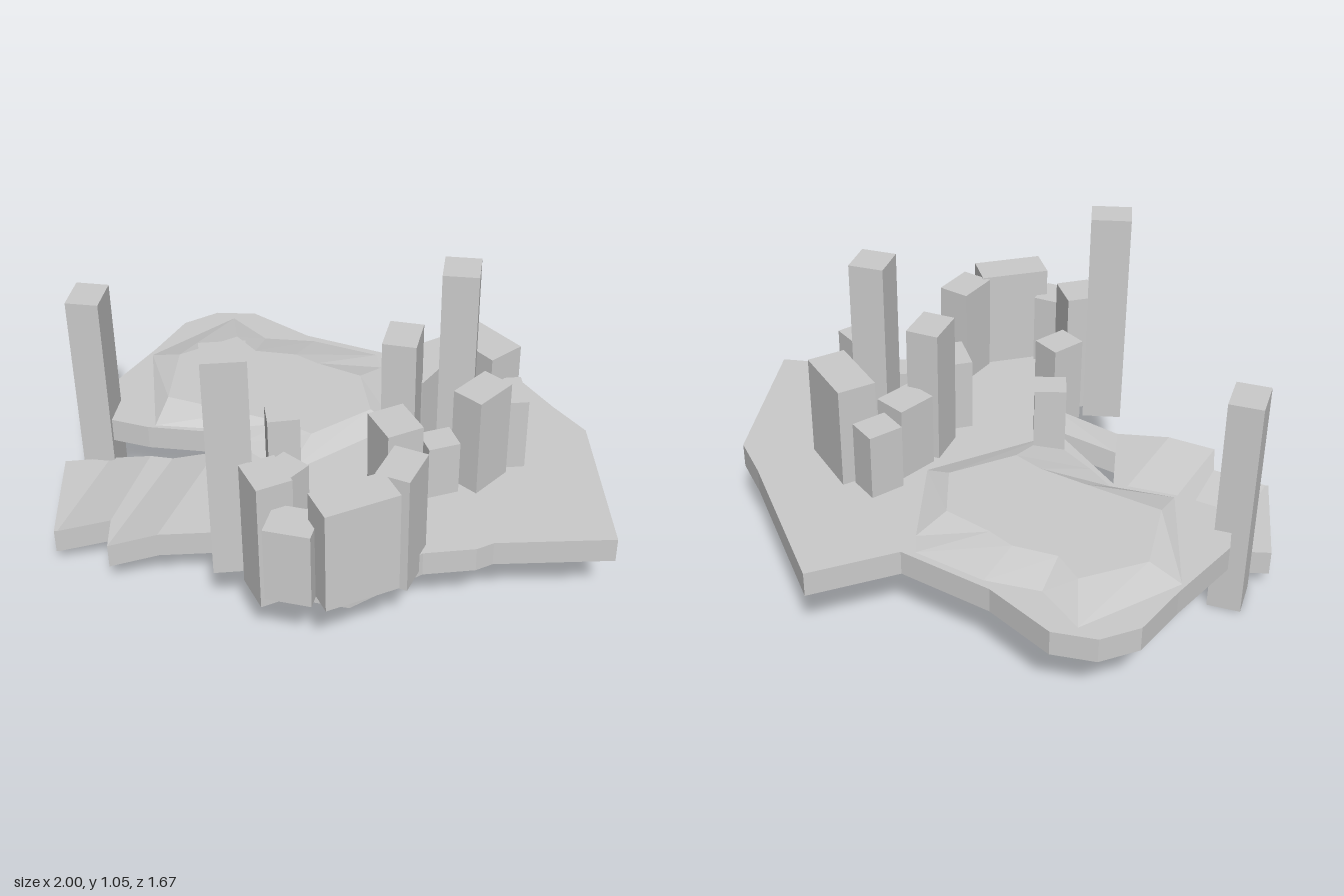
import * as THREE from 'three';

const material = new THREE.MeshStandardMaterial({ color: 0xcccccc, flatShading: true, side: THREE.DoubleSide });

function addTriangles(group, name, positions) {
  const geometry = new THREE.BufferGeometry();
  geometry.setAttribute('position', new THREE.Float32BufferAttribute(positions, 3));
  geometry.computeVertexNormals();
  const mesh = new THREE.Mesh(geometry, material);
  mesh.name = name;
  group.add(mesh);
}

const ring = (points) => points.map(([x, z]) => new THREE.Vector2(x, z));
const quad = (out, a, b, c, d) => out.push(...a, ...b, ...c, ...a, ...c, ...d);

// Horizontal polygon with holes, facing up or down
function cap(out, outline, holes, y, up) {
  const all = [outline, ...holes].flat();
  for (const f of THREE.ShapeUtils.triangulateShape(outline, holes)) {
    const t = f.map((i) => all[i]);
    // positive area in x/z means the triangle faces down
    if (THREE.ShapeUtils.area(t) > 0 === up) t.reverse();
    t.forEach((p) => out.push(p.x, y, p.y));
  }
}

// Band between two rings of equal length, wound by the first ring's direction
function band(out, a, ya, b, yb, flip) {
  const reverse = (THREE.ShapeUtils.area(a) > 0) !== flip;
  a.forEach((p, i) => {
    const j = (i + 1) % a.length;
    const q = [[p.x, ya, p.y], [a[j].x, ya, a[j].y], [b[j].x, yb, b[j].y], [b[i].x, yb, b[i].y]];
    if (reverse) q.reverse();
    quad(out, ...q);
  });
}

// Platform: irregular slab with an opening and a low mound dented in from below
function addPlatform(group) {
  const outline = ring([
    [0.085, -0.84], [0.58, -0.5], [0.73, -0.41], [1, 0.12], [0.64, 0.3], [0.6, 0.35], [0.45, 0.44],
    [0.38, 0.55], [0.3, 0.68], [0.15, 0.71], [0, 0.68], [-0.06, 0.58], [-0.04, 0.44], [-0.1, 0.31],
    [-0.2, 0.27], [-0.47, 0.14], [-0.7, 0.21], [-0.88, 0.23], [-0.96, 0.05], [-0.93, -0.24],
    [-0.92, -0.45], [-0.84, -0.57], [-0.7, -0.625], [-0.44, -0.565], [-0.1, -0.575],
  ]);
  const opening = ring([[0.265, -0.32], [0.45, -0.24], [0.47, -0.05], [0.38, 0.1], [0.265, 0.1]]);
  const moundBase = ring([
    [-0.76, -0.56], [-0.58, -0.48], [-0.4, -0.54], [-0.14, -0.55], [-0.09, -0.48], [0.1, -0.16],
    [-0.13, 0.25], [-0.36, 0.17], [-0.47, 0.12], [-0.68, 0.19], [-0.92, -0.2],
  ]);
  const moundTop = ring([
    [-0.66, -0.4], [-0.55, -0.34], [-0.4, -0.38], [-0.3, -0.36], [-0.12, -0.35], [0, -0.17],
    [-0.13, 0.05], [-0.24, 0.03], [-0.42, 0.04], [-0.7, 0.06], [-0.8, -0.2],
  ]);
  const bottom = 0.23, top = 0.32, rise = 0.035;
  const out = [];
  for (const [y, up] of [[top, true], [bottom, false]]) {
    cap(out, outline, [opening, moundBase], y, up);
    band(out, moundBase, y, moundTop, y + rise, !up);
    cap(out, moundTop, [], y + rise, up);
  }
  band(out, outline, bottom, outline, top, false);
  band(out, opening, bottom, opening, top, true);
  addTriangles(group, 'platform', out);
}

// Ramp: stepped strip; each row is back x, back z, front x, front z, top height
function addRamp(group) {
  const rows = [
    [-1, 0.315, -0.82, 0.665, 0.145], [-0.86, 0.23, -0.81, 0.66, 0.145], [-0.7, 0.21, -0.64, 0.58, 0.19],
    [-0.62, 0.19, -0.58, 0.7, 0.19], [-0.47, 0.14, -0.43, 0.62, 0.23], [-0.32, 0.42, -0.26, 0.53, 0.23],
    [-0.1, 0.31, -0.05, 0.43, 0.315],
  ];
  const thick = 0.09;
  const sections = rows.map(([bx, bz, fx, fz, y]) =>
    [[bx, y, bz], [fx, y, fz], [fx, y - thick, fz], [bx, y - thick, bz]]);
  const out = [];
  for (let i = 0; i + 1 < sections.length; i++) {
    const a = sections[i], b = sections[i + 1];
    for (let k = 0; k < 4; k++) {
      const n = (k + 1) % 4;
      quad(out, a[k], a[n], b[n], b[k]);
    }
  }
  quad(out, ...[...sections[0]].reverse());
  quad(out, ...sections.at(-1));
  addTriangles(group, 'ramp', out);
}

// Pillars: x, z, width, depth, turn in degrees, bottom, top
const pillars = {
  hallPillar: [
    [0.185, -0.32, 0.11, 0.125, 20, 0.22, 0.56], [0.365, -0.28, 0.245, 0.135, 26, 0.22, 0.69],
    [0.185, -0.165, 0.12, 0.145, 10, 0.22, 0.59], [0.18, -0.02, 0.115, 0.145, -12, 0, 0.81],
    [0.34, -0.12, 0.12, 0.125, -17, 0.24, 1.05], [0.51, -0.16, 0.15, 0.115, 60, 0.24, 0.59],
    [0.47, -0.01, 0.115, 0.16, 19, 0.23, 0.685], [0.365, 0.1, 0.1, 0.11, 47, 0.2, 0.52],
    [0.23, 0.155, 0.15, 0.13, 40, 0.22, 0.59],
  ],
  frontPillar: [
    [-0.015, 0.5, 0.11, 0.13, 17, 0.23, 0.56], [0.02, 0.68, 0.14, 0.12, 40, 0.21, 0.68],
    [-0.13, 0.635, 0.14, 0.115, -30, 0.24, 1.05], [0.145, 0.755, 0.15, 0.13, -10, 0.315, 0.59],
    [0.315, 0.675, 0.125, 0.25, 41, 0.32, 0.69], [0.385, 0.475, 0.115, 0.155, 0, 0.25, 0.685],
  ],
  rampPillar: [
    [-0.15, 0.23, 0.1, 0.11, 57, 0.2, 0.56], [-0.91, 0.19, 0.115, 0.14, -16, 0, 0.81],
  ],
};

export function createModel() {
  const group = new THREE.Group();
  group.name = 'pillaredPlatform';
  addPlatform(group);
  addRamp(group);
  for (const [name, list] of Object.entries(pillars)) {
    for (const [x, z, w, d, turn, bottom, top] of list) {
      const pillar = new THREE.Mesh(new THREE.BoxGeometry(w, top - bottom, d), material);
      pillar.name = name;
      pillar.position.set(x, (top + bottom) / 2, z);
      pillar.rotation.y = -THREE.MathUtils.degToRad(turn);
      group.add(pillar);
    }
  }
  return group;
}
